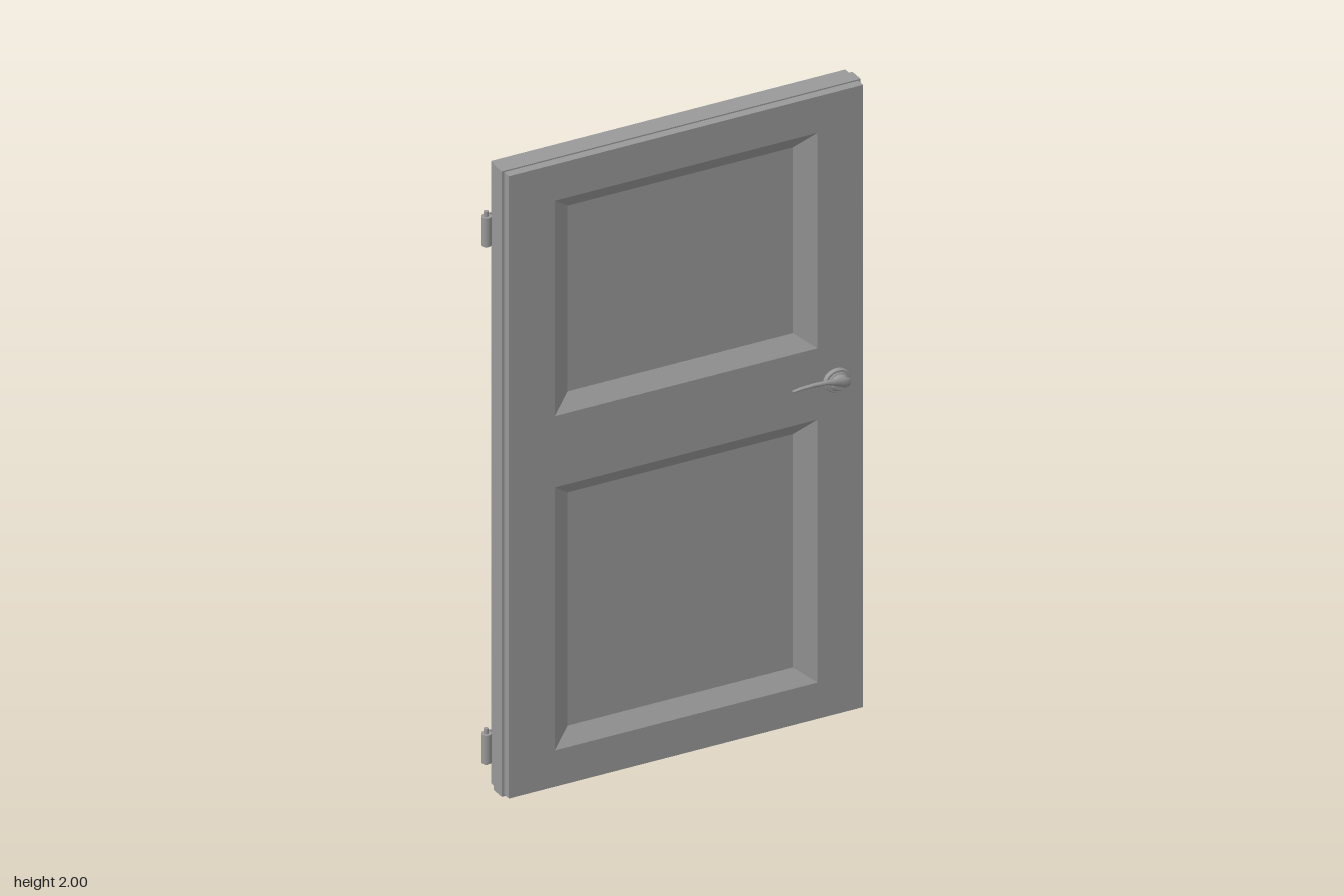
import * as THREE from 'three';

const material = new THREE.MeshStandardMaterial({ color: 0x999999, side: THREE.DoubleSide });

const CORE = 0.048;   // thickness of the middle layer
const BOARD = 0.036;  // thickness of the boards inside the panels
const HALF = 0.0525;  // half the full thickness
const LEFT = -0.557, RIGHT = 0.582, BOTTOM = 0.006, TOP = 1.996;
const PANELS = [[-0.41, 0.122, 0.435, 0.963], [-0.41, 1.191, 0.435, 1.88]];

function add(parent, name, geometry, x = 0, y = 0, z = 0) {
  const mesh = new THREE.Mesh(geometry, material);
  mesh.name = name;
  mesh.position.set(x, y, z);
  parent.add(mesh);
  return mesh;
}

function rectangle(Type, [x0, y0, x1, y1]) {
  return new Type([[x0, y0], [x1, y0], [x1, y1], [x0, y1]].map(p => new THREE.Vector2(...p)));
}

// Rectangular layer with the two panel openings
function layerGeometry(outline, depth) {
  const shape = rectangle(THREE.Shape, outline);
  shape.holes = PANELS.map(p => rectangle(THREE.Path, p));
  return new THREE.ExtrudeGeometry(shape, { depth, bevelEnabled: false });
}

// Face layer whose openings slope inwards to the boards
function slabGeometry() {
  const geometry = layerGeometry([LEFT, BOTTOM, RIGHT, TOP], HALF - BOARD / 2);
  const pos = geometry.attributes.position;
  for (let i = 0; i < pos.count; i++) {
    const x = pos.getX(i), y = pos.getY(i);
    if (pos.getZ(i) > 0.001 || x < -0.5 || x > 0.5) continue;
    const panel = PANELS.find(p => y > p[1] - 0.01 && y < p[3] + 0.01);
    pos.setX(i, x + (x < 0 ? 0.06 : -0.06));
    pos.setY(i, y + (y < (panel[1] + panel[3]) / 2 ? 0.048 : -0.047));
  }
  geometry.computeVertexNormals();
  return geometry;
}

// Lever: elliptical sections [x, y, z, half height, half depth] joined along x
function leverGeometry() {
  const keys = [
    [0.526, 1.078, 0.079, 0.004, 0.004], [0.520, 1.078, 0.083, 0.013, 0.009],
    [0.503, 1.081, 0.088, 0.016, 0.010], [0.478, 1.090, 0.093, 0.012, 0.008],
    [0.445, 1.098, 0.094, 0.007, 0.007], [0.400, 1.100, 0.093, 0.006, 0.006],
    [0.360, 1.098, 0.091, 0.005, 0.006], [0.335, 1.095, 0.090, 0.003, 0.005]];
  const sides = 14, vertices = [], index = [];
  const ring = ([x, y, z, ry, rz]) => {
    for (let j = 0; j < sides; j++) {
      const a = j / sides * Math.PI * 2;
      vertices.push(x, y + Math.cos(a) * ry, z + Math.sin(a) * rz);
    }
  };
  const first = keys[0], last = keys[keys.length - 1];
  ring([...first.slice(0, 3), 0, 0]);
  keys.forEach(ring);
  ring([...last.slice(0, 3), 0, 0]);
  for (let i = 0; i < keys.length + 1; i++) {
    for (let j = 0; j < sides; j++) {
      const a = i * sides + j, b = i * sides + (j + 1) % sides;
      index.push(a, a + sides, b, b, a + sides, b + sides);
    }
  }
  const geometry = new THREE.BufferGeometry();
  geometry.setAttribute('position', new THREE.Float32BufferAttribute(vertices, 3));
  geometry.setIndex(index);
  geometry.computeVertexNormals();
  return geometry;
}

// Stepped oval rose and neck along the z axis
function roseGeometry() {
  const profile = [[0, -0.002], [0.042, -0.002], [0.042, 0.012], [0.040, 0.014], [0.033, 0.014],
    [0.033, 0.018], [0.028, 0.020], [0.027, 0.030], [0.024, 0.033], [0, 0.033]];
  const geometry = new THREE.LatheGeometry(profile.map(p => new THREE.Vector2(...p)), 28).toNonIndexed();
  geometry.rotateX(Math.PI / 2);
  geometry.scale(1, 0.85, 1);
  geometry.computeVertexNormals();
  return geometry;
}

function createHinge(y) {
  const hinge = new THREE.Group();
  hinge.name = 'hinge';
  add(hinge, 'hingeBarrel', new THREE.CylinderGeometry(0.016, 0.016, 0.092, 16), -0.579, y, -0.041);
  add(hinge, 'hingePin', new THREE.CylinderGeometry(0.007, 0.007, 0.114, 12), -0.579, y + 0.005, -0.041);
  add(hinge, 'hingeLeaf', new THREE.BoxGeometry(0.042, 0.092, 0.006), -0.554, y, -0.0535);
  return hinge;
}

export function createModel() {
  const door = new THREE.Group();
  door.name = 'door';
  // The leaf stands very slightly ajar
  door.rotation.y = -0.0085;
  door.position.set(0.002, 0, -0.0045);

  // Core layer, a little larger than the faces all round, with a board in each opening
  add(door, 'doorCore', layerGeometry([-0.5645, 0, 0.5895, 2], CORE), 0, 0, -CORE / 2);
  for (const [x0, y0, x1, y1] of PANELS) {
    add(door, 'panelBoard', new THREE.BoxGeometry(x1 - x0, y1 - y0, BOARD), (x0 + x1) / 2, (y0 + y1) / 2, 0);
  }

  // Panelled face and handle on the front, mirrored to the back
  const slab = slabGeometry(), rose = roseGeometry(), lever = leverGeometry();
  for (const side of [1, -1]) {
    const face = new THREE.Group();
    face.name = side > 0 ? 'frontFace' : 'backFace';
    face.scale.z = side;
    add(face, 'panelFrame', slab, 0, 0, BOARD / 2);
    add(face, 'handleRose', rose, 0.495, 1.077, HALF);
    add(face, 'handleLever', lever);
    door.add(face);
  }

  for (const y of [0.131, 1.785]) door.add(createHinge(y));

  const root = new THREE.Group();
  root.name = 'panelledDoor';
  root.add(door);
  return root;
}
